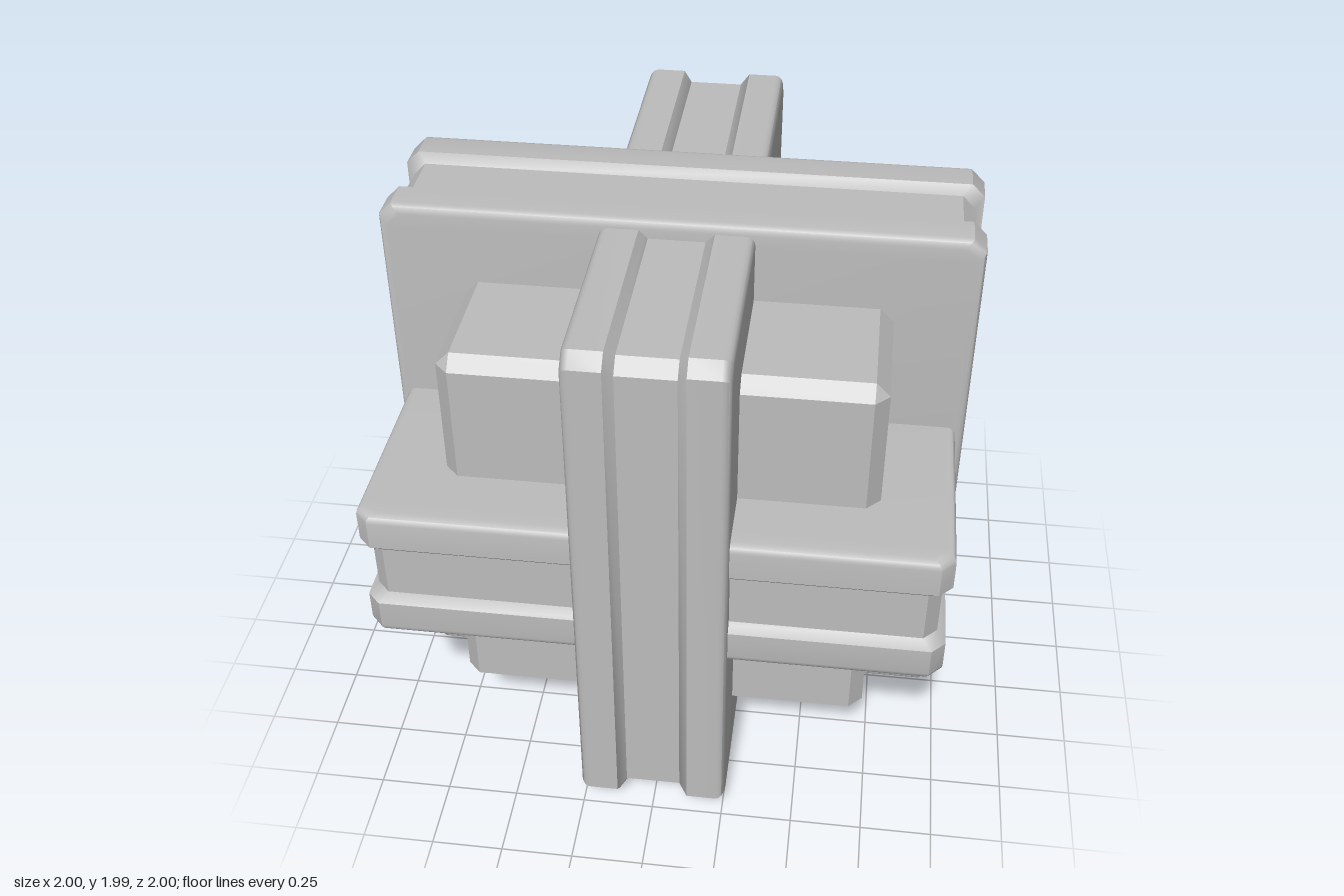
import * as THREE from 'three';
import { toCreasedNormals } from 'three/addons/utils/BufferGeometryUtils.js';
import { ConvexGeometry } from 'three/addons/geometries/ConvexGeometry.js';

const HALF = 0.257;   // half thickness of a slab
const ROUND = 0.03;   // radius of the outer rim edges
const CUT = 0.045;    // corner cut of slabs and core

// Rim profile from back to front: [z, inset]
function rimProfile() {
  const front = [[0.095, 0.03], [0.125, 0]];
  const steps = 4;
  for (let i = 0; i <= steps; i++) {
    const a = (i / steps) * Math.PI / 2;
    front.push([HALF - ROUND + ROUND * Math.sin(a), ROUND - ROUND * Math.cos(a)]);
  }
  const back = front.map(([z, inset]) => [-z, inset]).reverse();
  return [...back, ...front];
}

// Rectangle with cut corners, counter-clockwise
function outline(w, h) {
  const u = w - CUT, v = h - CUT;
  return [[w, v], [u, h], [-u, h], [-w, v], [-w, -v], [-u, -h], [u, -h], [w, -v]];
}

// Slab lying in the xy plane with a groove around its rim
function slabGeometry(w, h) {
  const positions = [], index = [], n = 8;
  const profile = rimProfile();
  for (const [z, inset] of profile) {
    for (const [x, y] of outline(w - inset, h - inset)) positions.push(x, y, z);
  }
  const last = (profile.length - 1) * n;
  for (let r = 0; r < last; r += n) {
    for (let j = 0; j < n; j++) {
      const k = (j + 1) % n;
      index.push(r + j, r + k, r + n + k, r + j, r + n + k, r + n + j);
    }
  }
  for (let j = 1; j < n - 1; j++) {
    index.push(0, j + 1, j, last, last + j, last + j + 1);
  }
  const geometry = new THREE.BufferGeometry();
  geometry.setAttribute('position', new THREE.Float32BufferAttribute(positions, 3));
  geometry.setIndex(index);
  return toCreasedNormals(geometry, 0.6);
}

// Cube with every edge chamfered
function chamferedCube(half, cut) {
  const points = [], s = half - cut;
  for (const x of [-1, 1]) for (const y of [-1, 1]) for (const z of [-1, 1]) {
    points.push(
      new THREE.Vector3(x * half, y * s, z * s),
      new THREE.Vector3(x * s, y * half, z * s),
      new THREE.Vector3(x * s, y * s, z * half));
  }
  return new ConvexGeometry(points);
}

export function createModel() {
  const model = new THREE.Group();
  model.name = 'interlockingSlabs';
  const grey = new THREE.MeshStandardMaterial({ color: 0xbcbcbc });
  grey.name = 'plain grey';

  const add = (name, geometry, rx = 0, ry = 0) => {
    const mesh = new THREE.Mesh(geometry, grey);
    mesh.name = name;
    mesh.position.y = 1.003;
    mesh.rotation.set(rx, ry, 0);
    model.add(mesh);
  };

  // Three crossing slabs, slightly different in size
  add('crosswiseSlab', slabGeometry(1, 0.997));
  add('lengthwiseSlab', slabGeometry(0.998, 0.965), 0, Math.PI / 2);
  add('levelSlab', slabGeometry(0.968, 0.965), Math.PI / 2);

  // Central block showing in the eight corners
  add('coreBlock', chamferedCube(0.723, 0.047));

  return model;
}
